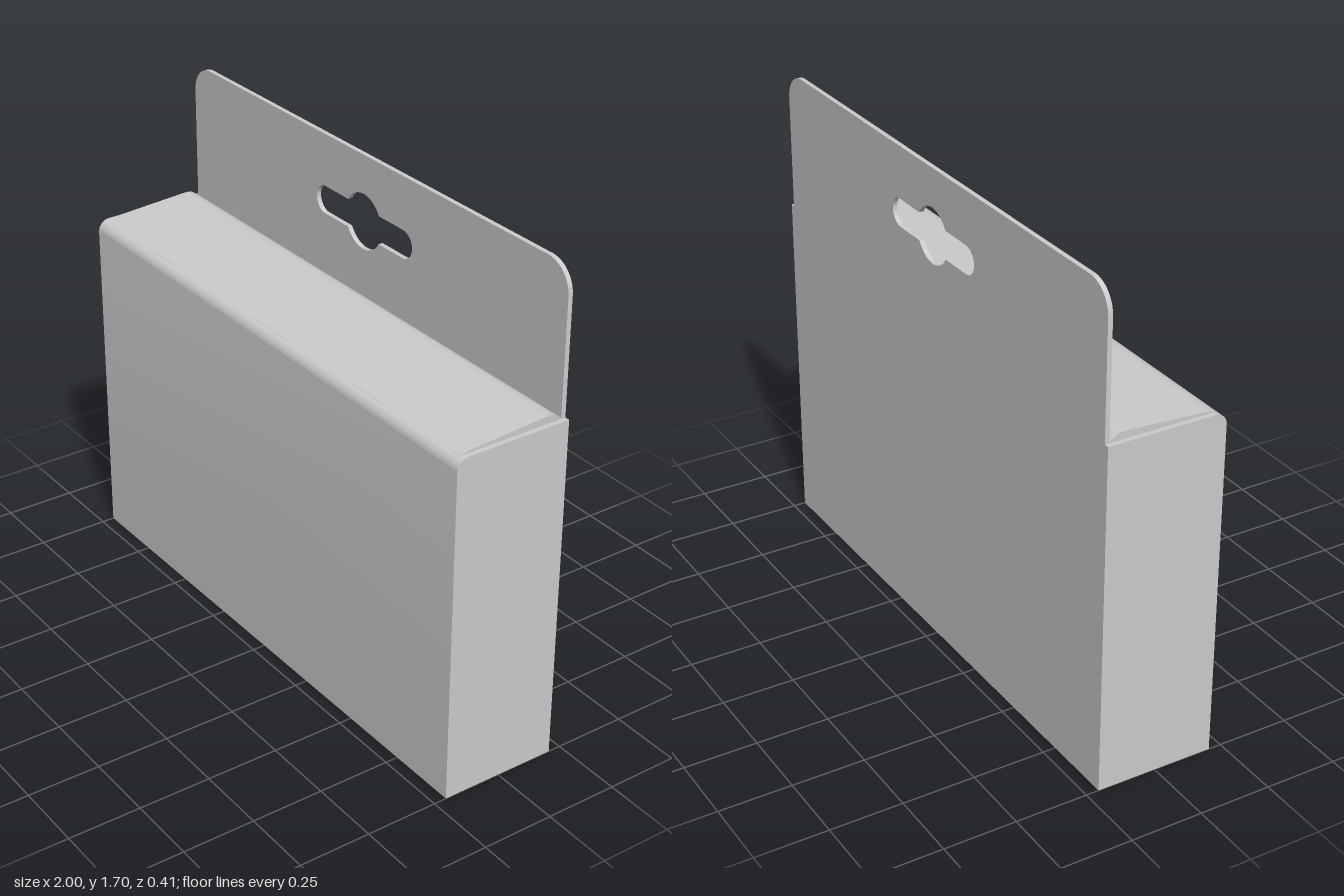
import * as THREE from 'three';
import { toCreasedNormals } from 'three/addons/utils/BufferGeometryUtils.js';

const material = new THREE.MeshStandardMaterial({ color: 0xcccccc });

function addPart(group, name, geometry) {
  const mesh = new THREE.Mesh(toCreasedNormals(geometry, 0.6), material);
  mesh.name = name;
  group.add(mesh);
}

// Extrudes a side profile (drawn with -z to the right, y up) across the width
function acrossWidth(shape, width) {
  return new THREE.ExtrudeGeometry(shape, { depth: width, bevelEnabled: false, curveSegments: 10 })
    .translate(0, 0, -width / 2)
    .rotateY(Math.PI / 2);
}

export function createModel() {
  const group = new THREE.Group();
  group.name = 'hangingCarton';
  const halfDepth = 0.206, top = 1.203, bend = 0.042, thickness = 0.016;

  // Carton body with a rounded front top fold
  const body = new THREE.Shape();
  body.moveTo(-halfDepth, 0);
  body.lineTo(halfDepth, 0);
  body.lineTo(halfDepth, top);
  body.lineTo(-halfDepth + bend, top);
  body.absarc(-halfDepth + bend, top - bend, bend, Math.PI / 2, Math.PI, false);
  body.lineTo(-halfDepth, 0);
  addPart(group, 'cartonBody', acrossWidth(body, 2));

  // Lid flap, bulging towards the back and dipping to meet the hang tab
  const lid = new THREE.Shape();
  lid.moveTo(-0.18, 1.17);
  lid.lineTo(0.19, 1.17);
  lid.lineTo(0.19, 1.207);
  lid.lineTo(0.168, 1.223);
  lid.quadraticCurveTo(0.155, 1.23, 0.13, 1.229);
  lid.lineTo(-0.13, 1.212);
  lid.quadraticCurveTo(-0.165, 1.21, -0.18, 1.2);
  lid.lineTo(-0.18, 1.17);
  addPart(group, 'lidFlap', acrossWidth(lid, 1.966));

  // Hang tab with rounded upper corners
  const w = 0.983, tabTop = 1.695, r = 0.095;
  const tab = new THREE.Shape();
  tab.moveTo(-w, 1.19);
  tab.lineTo(w, 1.19);
  tab.lineTo(w, tabTop - r);
  tab.absarc(w - r, tabTop - r, r, 0, Math.PI / 2, false);
  tab.absarc(-w + r, tabTop - r, r, Math.PI / 2, Math.PI, false);
  tab.lineTo(-w, 1.19);

  // Hanger hole: a slot with rounded ends and a wider round centre
  const cy = 1.468, slotR = 0.048, slotX = 0.207, centreR = 0.095;
  const a = Math.asin(slotR / centreR);
  const hole = new THREE.Path();
  hole.absarc(slotX, cy, slotR, -Math.PI / 2, Math.PI / 2, false);
  hole.absarc(0, cy, centreR, a, Math.PI - a, false);
  hole.absarc(-slotX, cy, slotR, Math.PI / 2, Math.PI * 1.5, false);
  hole.absarc(0, cy, centreR, Math.PI + a, Math.PI * 2 - a, false);
  hole.closePath();
  tab.holes.push(hole);
  const tabGeometry = new THREE.ExtrudeGeometry(tab, { depth: thickness, bevelEnabled: false, curveSegments: 12 });
  addPart(group, 'hangTab', tabGeometry.translate(0, 0, -halfDepth));

  return group;
}
